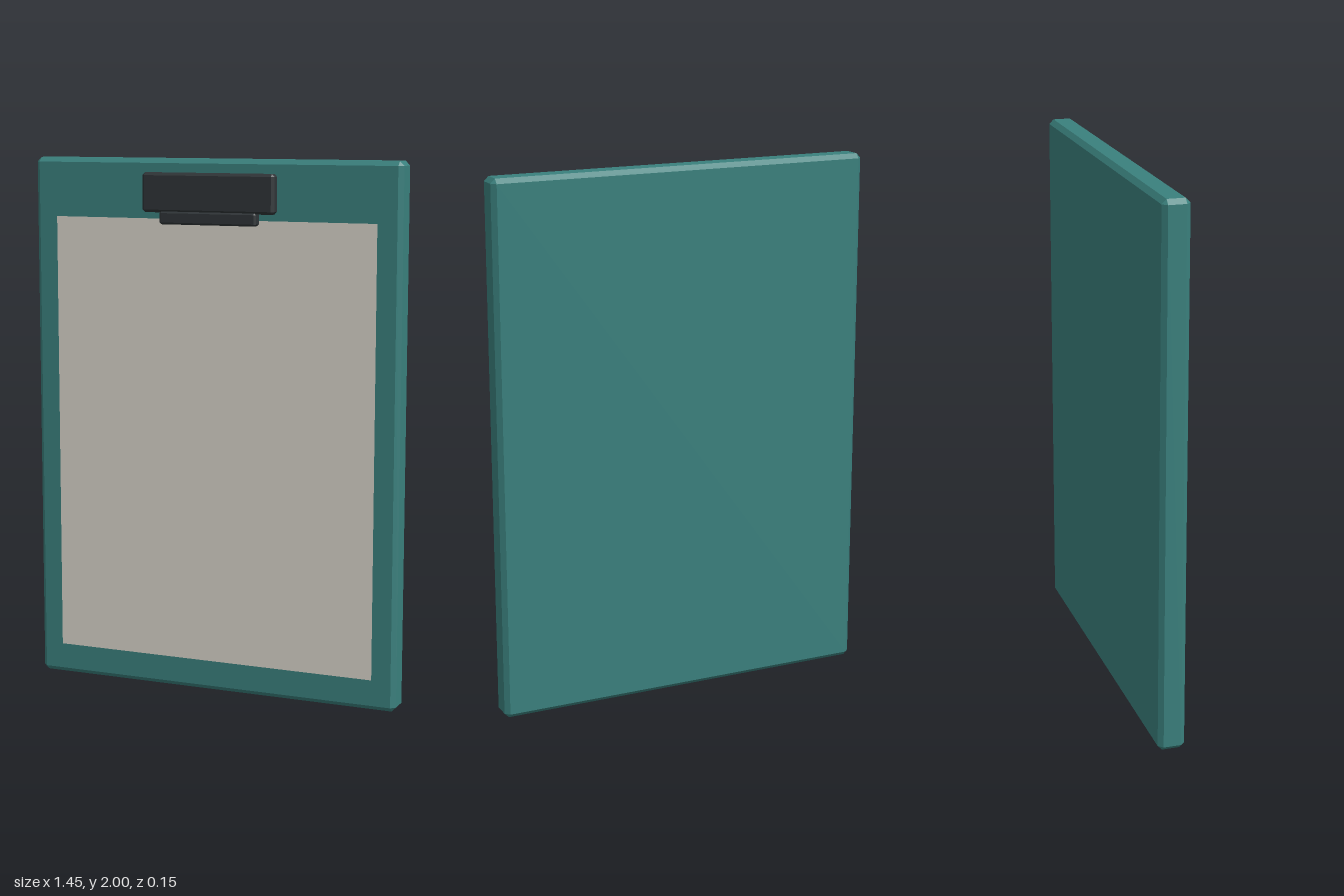
import * as THREE from 'three';
import { ConvexGeometry } from 'three/addons/geometries/ConvexGeometry.js';

// Box with a flat chamfer c on every edge and corner, from min to max corners
function chamferedBox(name, color, [x0, y0, z0], [x1, y1, z1], c) {
  const half = new THREE.Vector3(x1 - x0, y1 - y0, z1 - z0).multiplyScalar(0.5);
  const points = [];
  for (const sx of [-1, 1]) for (const sy of [-1, 1]) for (const sz of [-1, 1]) {
    for (let axis = 0; axis < 3; axis++) {
      const inset = [c, c, c];
      inset[axis] = 0;
      points.push(new THREE.Vector3(
        sx * (half.x - inset[0]), sy * (half.y - inset[1]), sz * (half.z - inset[2])));
    }
  }
  const mesh = new THREE.Mesh(
    new ConvexGeometry(points),
    new THREE.MeshStandardMaterial({ color, flatShading: true }));
  mesh.name = name;
  mesh.position.set((x0 + x1) / 2, (y0 + y1) / 2, (z0 + z1) / 2);
  return mesh;
}

export function createModel() {
  const group = new THREE.Group();
  group.name = 'clipboard';

  // Backing board
  group.add(chamferedBox('board', 0x3a807d, [-0.725, 0, -0.075], [0.725, 2, 0.024], 0.017));

  // Sheet of paper lying just above the board
  const paper = new THREE.Mesh(
    new THREE.PlaneGeometry(1.27, 1.665),
    new THREE.MeshStandardMaterial({ color: 0xd8d4ca, side: THREE.DoubleSide }));
  paper.name = 'paper';
  paper.position.set(0, 0.9475, 0.027);
  group.add(paper);

  // Clip: wide upper plate and narrow lower jaw
  const clip = new THREE.Group();
  clip.name = 'clip';
  clip.add(chamferedBox('clipPlate', 0x2f3437, [-0.26, 1.805, 0.029], [0.26, 1.95, 0.075], 0.01));
  clip.add(chamferedBox('clipJaw', 0x2f3437, [-0.19, 1.762, 0.031], [0.19, 1.81, 0.075], 0.007));
  group.add(clip);

  return group;
}
